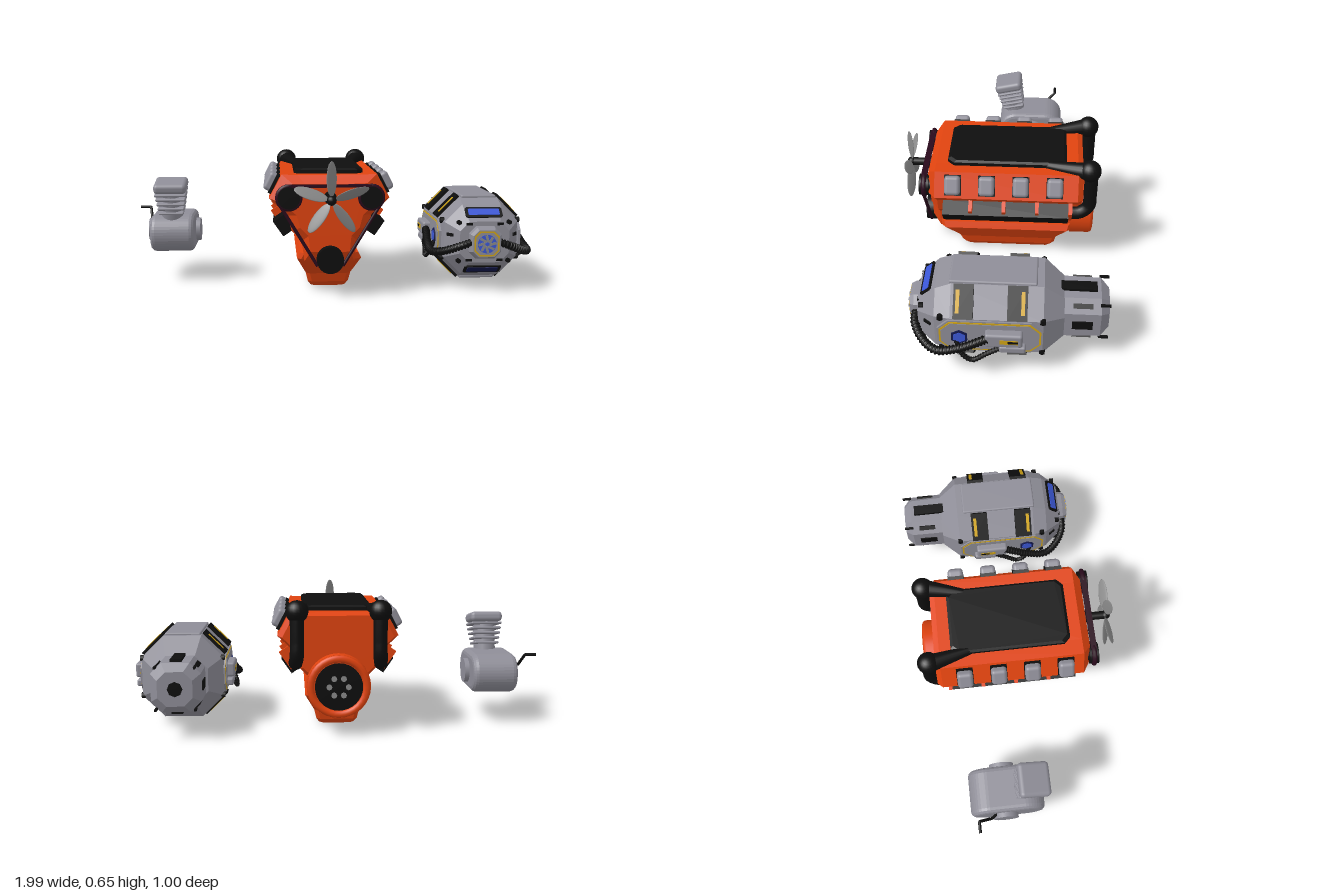
import * as THREE from 'three';
import { RoundedBoxGeometry } from 'three/addons/geometries/RoundedBoxGeometry.js';

const paint = (name, color) => Object.assign(new THREE.MeshStandardMaterial({ color }), { name });
const V = (x, y, z) => new THREE.Vector3(x, y, z);

export function createModel() {
  const orange = paint('orange', 0xe0430f), grey = paint('grey', 0x8f8e98), black = paint('black', 0x0e0e0e);
  const steel = paint('steel', 0x8a8a8a), yellow = paint('yellow', 0xd2a516), blue = paint('blue', 0x3b57d6);
  const navy = paint('navy', 0x14194f), maroon = paint('maroon', 0x2a0a1c);

  const add = (parent, name, geo, mat, x = 0, y = 0, z = 0, rx = 0, ry = 0, rz = 0) => {
    const m = new THREE.Mesh(geo, mat);
    m.name = name;
    m.position.set(x, y, z);
    m.rotation.set(rx, ry, rz);
    parent.add(m);
    return m;
  };
  const group = (parent, name, x = 0, y = 0, z = 0) => {
    const g = new THREE.Group();
    g.name = name;
    g.position.set(x, y, z);
    parent.add(g);
    return g;
  };
  const box = (w, h, d) => new THREE.BoxGeometry(w, h, d);
  const soft = (w, h, d, r) => new RoundedBoxGeometry(w, h, d, 3, r);
  const disc = (r, d, n = 24) => new THREE.CylinderGeometry(r, r, d, n).rotateX(Math.PI / 2);
  const rod = (parent, name, mat, a, b, r1, r2 = r1) => {
    const m = add(parent, name, new THREE.CylinderGeometry(r2, r1, a.distanceTo(b), 16), mat);
    m.position.copy(a).lerp(b, 0.5);
    m.quaternion.setFromUnitVectors(V(0, 1, 0), b.clone().sub(a).normalize());
  };
  // flat-faced solid from counter-clockwise cross-sections [z, points] with rising z
  const loft = (rings) => {
    const pos = [];
    const put = (r, j) => pos.push(r[1][j][0], r[1][j][1], r[0]);
    const n = rings[0][1].length;
    for (let i = 0; i + 1 < rings.length; i++) for (let j = 0; j < n; j++) {
      const k = (j + 1) % n, a = rings[i], b = rings[i + 1];
      put(a, j); put(a, k); put(b, k);
      put(a, j); put(b, k); put(b, j);
    }
    const first = rings[0], last = rings[rings.length - 1];
    const tris = (r) => THREE.ShapeUtils.triangulateShape(r[1].map((p) => new THREE.Vector2(...p)), []);
    for (const [a, b, c] of tris(last)) { put(last, a); put(last, b); put(last, c); }
    for (const [a, b, c] of tris(first)) { put(first, c); put(first, b); put(first, a); }
    const g = new THREE.BufferGeometry();
    g.setAttribute('position', new THREE.Float32BufferAttribute(pos, 3));
    g.computeVertexNormals();
    return g;
  };
  const oct = (w, h, c) => [[w, c - h], [w, h - c], [w - c, h], [c - w, h], [-w, h - c], [-w, c - h], [c - w, -h], [w - c, -h]];
  const plate = (w, h, c, t) => loft([[0, oct(w, h, c)], [t, oct(w, h, c)]]);

  const model = new THREE.Group();
  model.name = 'engines';

  // ---- small single-cylinder engine ----
  const small = group(model, 'singleCylinderEngine', -0.8, 0.245, 0);
  const stadium = new THREE.Shape();
  stadium.absarc(0.085, 0, 0.07, -Math.PI / 2, Math.PI / 2);
  stadium.absarc(-0.085, 0, 0.07, Math.PI / 2, Math.PI * 1.5);
  const caseGeo = new THREE.ExtrudeGeometry(stadium, { depth: 0.17, bevelSize: 0.025, bevelThickness: 0.025, bevelSegments: 3, curveSegments: 10 });
  add(small, 'crankcase', caseGeo.rotateY(-Math.PI / 2).center(), grey, 0, 0, -0.108);
  for (const s of [-1, 1]) add(small, 'crankcaseCover', disc(0.06, 0.03), grey, s * 0.117, 0, -0.12, 0, Math.PI / 2);
  const barrel = group(small, 'cylinder', 0, 0.06, -0.02);
  barrel.rotation.x = 0.22;
  rod(barrel, 'barrel', grey, V(0, 0, 0), V(0, 0.2, 0), 0.055);
  for (let i = 0; i < 5; i++) add(barrel, 'coolingFin', soft(0.124 + i * 0.008, 0.013, 0.12 + i * 0.005, 0.006), grey, 0, 0.06 + i * 0.025, 0);
  add(barrel, 'cylinderHead', soft(0.162, 0.05, 0.15, 0.02), grey, 0, 0.193, 0);
  const crank = [V(-0.1, 0.03, -0.15), V(-0.13, 0.04, -0.19), V(-0.145, 0.1, -0.25), V(-0.198, 0.1, -0.25)];
  for (let i = 0; i < 3; i++) rod(small, 'crankHandle', black, crank[i], crank[i + 1], 0.007);

  // ---- V engine ----
  const vee = group(model, 'veeEngine', -0.02, 0, 0);
  const half = [[0.12, 0.16], [0.13, 0.26], [0.18, 0.31], [0.2, 0.385], [0.285, 0.465], [0.225, 0.578], [0.15, 0.575]];
  const profile = [...half, ...half.map(([x, y]) => [-x, y]).reverse()];
  const shrink = (k) => profile.map(([x, y]) => [x * k, 0.4 + (y - 0.4) * k]);
  add(vee, 'engineBlock', loft([[-0.385, shrink(0.92)], [-0.36, profile], [0.33, profile], [0.368, shrink(0.78)]]), orange);
  const panRing = (y, w, front, back, c) => [y, oct(w, (front + back) / 2, c).map(([x, z]) => [x, z - (front - back) / 2])];
  add(vee, 'oilPan', loft([panRing(0, 0.06, 0.16, 0.2, 0.02), panRing(0.01, 0.085, 0.2, 0.235, 0.02),
    panRing(0.035, 0.1, 0.225, 0.26, 0.02), panRing(0.08, 0.11, 0.24, 0.268, 0.02),
    panRing(0.17, 0.155, 0.32, 0.34, 0.02), panRing(0.2, 0.14, 0.33, 0.35, 0.02)]).rotateX(-Math.PI / 2), orange);
  add(vee, 'topCover', loft([[0.565, oct(0.166, 0.288, 0.03)], [0.592, oct(0.166, 0.288, 0.03)], [0.6, oct(0.155, 0.275, 0.03)]]).rotateX(-Math.PI / 2), black, 0, 0, -0.015);
  for (const s of [-1, 1]) {
    for (let i = 0; i < 4; i++) {
      const z = 0.241 - i * 0.163;
      add(vee, 'rockerCover', soft(0.05, 0.092, 0.075, 0.017), grey, s * 0.275, 0.537, z, 0, 0, s * 0.48);
      add(vee, 'rockerCoverGasket', box(0.02, 0.098, 0.08), black, s * 0.26, 0.526, z, 0, 0, s * 0.48);
      add(vee, 'blockRib', box(0.085, 0.1, 0.018), orange, s * 0.215, 0.365, z - 0.08, 0, 0, -s * 0.6);
    }
    add(vee, 'exhaustManifold', box(0.08, 0.085, 0.62), black, s * 0.21, 0.335, -0.01, 0, 0, -s * 0.6);
    // rear air pipes
    add(vee, 'pipeJoint', new THREE.SphereGeometry(0.053, 20, 14), black, s * 0.193, 0.585, -0.415);
    rod(vee, 'intakePipe', black, V(s * 0.193, 0.582, -0.4), V(s * 0.145, 0.578, -0.2), 0.043, 0.02);
    const bend = new THREE.CatmullRomCurve3([V(s * 0.193, 0.585, -0.422), V(s * 0.193, 0.45, -0.422), V(s * 0.195, 0.375, -0.418), V(s * 0.2, 0.34, -0.38), V(s * 0.2, 0.335, -0.3)]);
    add(vee, 'exhaustPipe', new THREE.TubeGeometry(bend, 20, 0.033, 14), black);
    add(vee, 'upperPulley', disc(0.052, 0.045), black, s * 0.193, 0.475, 0.387);
    rod(vee, 'pulleyShaft', black, V(s * 0.193, 0.475, 0.3), V(s * 0.193, 0.475, 0.38), 0.035);
    // belt runs from the crank pulley to each upper pulley
    rod(vee, 'beltRun', maroon, V(s * 0.06, 0.15, 0.387), V(s * 0.242, 0.452, 0.387), 0.008);
    add(vee, 'upperPulleyBelt', new THREE.TorusGeometry(0.052, 0.012, 8, 24), maroon, s * 0.193, 0.475, 0.387);
  }
  add(vee, 'beltTopRun', box(0.386, 0.012, 0.028), maroon, 0, 0.529, 0.387);
  add(vee, 'crankPulley', disc(0.064, 0.05), black, 0, 0.18, 0.387);
  rod(vee, 'crankShaft', black, V(0, 0.18, 0.3), V(0, 0.18, 0.38), 0.045);
  // flywheel housing
  add(vee, 'flywheelHousing', disc(0.15, 0.1, 32), orange, 0, 0.235, -0.385);
  add(vee, 'flywheelRim', new THREE.TorusGeometry(0.132, 0.018, 8, 32), orange, 0, 0.235, -0.433);
  add(vee, 'flywheel', disc(0.112, 0.02, 32), black, 0, 0.235, -0.433);
  for (let i = 0; i < 6; i++) {
    const a = i * Math.PI / 3;
    add(vee, 'flywheelBolt', disc(0.014, 0.008, 8), steel, 0.045 * Math.cos(a), 0.235 + 0.045 * Math.sin(a), -0.444);
  }
  // propeller
  rod(vee, 'propellerShaft', black, V(0, 0.473, 0.34), V(0, 0.473, 0.475), 0.02);
  rod(vee, 'shaftCollar', black, V(0, 0.473, 0.34), V(0, 0.473, 0.4), 0.03);
  const prop = group(vee, 'propeller', 0, 0.473, 0.477);
  add(prop, 'propellerHub', new THREE.SphereGeometry(0.023, 14, 10), black);
  for (let i = 0; i < 5; i++) {
    const arm = group(prop, 'blade');
    arm.rotation.z = i * Math.PI * 0.4;
    add(arm, 'bladeSurface', new THREE.SphereGeometry(1, 14, 10).scale(0.031, 0.081, 0.004), steel, 0, 0.099, 0, 0, 0.65, 0);
  }

  // ---- reactor ----
  const reactor = group(model, 'reactor', 0.728, 0.245, 0);
  add(reactor, 'reactorBody', loft([[-0.3, oct(0.13, 0.115, 0.06)], [-0.21, oct(0.197, 0.2, 0.105)], [0.19, oct(0.197, 0.2, 0.105)],
    [0.26, oct(0.18, 0.172, 0.085)], [0.34, oct(0.12, 0.1, 0.045)]]), grey);
  add(reactor, 'rearModule', loft([[-0.498, oct(0.08, 0.08, 0.04)], [-0.46, oct(0.115, 0.115, 0.05)], [-0.28, oct(0.118, 0.118, 0.05)]]), grey);
  add(reactor, 'nose', loft([[0.32, oct(0.08, 0.082, 0.035)], [0.365, oct(0.075, 0.075, 0.032)], [0.384, oct(0.065, 0.065, 0.027)]]), grey);
  // fan in the nose
  add(reactor, 'noseTrim', plate(0.06, 0.06, 0.025, 0.003), yellow, 0, 0, 0.383);
  add(reactor, 'noseFace', plate(0.053, 0.053, 0.022, 0.005), grey, 0, 0, 0.383);
  add(reactor, 'fanGlow', disc(0.045, 0.004), blue, 0, 0, 0.388);
  for (let i = 0; i < 8; i++) {
    const a = i * Math.PI / 4;
    add(reactor, 'fanVane', box(0.034, 0.012, 0.004), steel, 0.026 * Math.cos(a), 0.026 * Math.sin(a), 0.391, 0, 0, a + 0.3);
  }
  add(reactor, 'fanCentre', disc(0.009, 0.006, 12), blue, 0, 0, 0.392);
  for (const t of [-1, 1]) {
    // slit windows on the sloping front faces, panels above and below
    const slit = group(reactor, 'slitWindow', 0, t * 0.137, 0.302);
    slit.rotation.x = -t * 0.84;
    add(slit, 'slitFrame', plate(0.09, 0.031, 0.008, 0.006), black);
    add(slit, 'slitGlass', plate(0.076, 0.019, 0.004, 0.004), t > 0 ? blue : navy, 0, 0, 0.005);
    add(reactor, 'spinePanel', soft(0.175, 0.02, 0.38, 0.008), grey, 0, t * 0.2, 0.01);
    add(reactor, 'rearFin', box(0.052, 0.02, 0.165), black, 0, t * 0.119, -0.36);
    for (const s of [-1, 1]) {
      // straps with a stripe across each chamfered edge
      for (const [z, stripe] of [[0.133, 0.158], [-0.098, -0.122]]) {
        const strap = group(reactor, 'strap', s * 0.146, t * 0.149, z);
        strap.rotation.z = Math.atan2(t, s);
        add(strap, 'strapBand', box(0.024, 0.15, 0.086), black);
        add(strap, 'strapStripe', box(0.006, 0.1, 0.016), yellow, 0.012, 0, stripe - z);
      }
      for (const z of [0.232, -0.208]) add(reactor, 'sideBolt', disc(0.014, 0.02, 6), black, s * (z > 0 ? 0.187 : 0.193), t * 0.092, z, 0, Math.PI / 2);
      add(reactor, 'noseBolt', disc(0.012, 0.02, 6), black, s * 0.122, t * 0.094, 0.322);
      add(reactor, 'noseVent', box(0.03, 0.012, 0.01), black, s * 0.075, t * 0.088, 0.337);
      add(reactor, 'rearVent', box(0.008, 0.022, 0.085), black, s * 0.094, t * 0.094, -0.38, 0, 0, Math.atan2(t, s));
      add(reactor, 'rearPin', box(0.01, 0.01, 0.045), black, s * 0.09, t * 0.098, -0.478);
    }
  }
  add(reactor, 'rearPort', disc(0.035, 0.008, 8), black, 0, 0, -0.497);
  for (const s of [-1, 1]) {
    add(reactor, 'rearWindow', box(0.008, 0.045, 0.09), black, s * 0.117, 0, -0.38);
    add(reactor, 'cheekVent', box(0.01, 0.015, 0.038), black, s * 0.158, 0.03, 0.292, 0, -s * 0.64);
    // side panel, built facing outward
    const side = group(reactor, 'sidePanel', s * 0.192, 0, 0);
    side.rotation.y = s * Math.PI / 2;
    const at = (name, geo, mat, z, y, out) => add(side, name, geo, mat, -s * z, y, out);
    at('panelBase', plate(0.228, 0.09, 0.05, 0.012), grey, 0.018, 0, 0);
    at('panelTrim', plate(0.22, 0.083, 0.046, 0.003), yellow, 0.018, 0, 0.011);
    at('panelFace', plate(0.212, 0.075, 0.042, 0.005), grey, 0.018, 0, 0.011);
    at('portholeRim', disc(0.04, 0.012, 6), navy, 0.15, 0, 0.016);
    at('porthole', disc(0.03, 0.012, 6), blue, 0.15, 0, 0.018);
    at('upperPod', soft(0.162, 0.072, 0.05, 0.012), grey, -0.043, 0.013, 0.028);
    at('podLabel', box(0.078, 0.024, 0.004), yellow, -0.066, 0.013, 0.052);
    at('podLabelMark', box(0.045, 0.012, 0.005), black, -0.082, 0.013, 0.053);
    at('lowerPod', soft(0.115, 0.036, 0.04, 0.01), grey, -0.08, -0.047, 0.026);
    // ribbed hoses
    const hoses = [
      [[V(s * 0.06, 0.005, 0.355), V(s * 0.12, -0.015, 0.355), V(s * 0.19, -0.045, 0.315), V(s * 0.237, -0.06, 0.25), V(s * 0.24, -0.04, 0.15), V(s * 0.228, 0.012, 0.03)], 0.016, 30],
      [[V(s * 0.205, -0.02, 0.165), V(s * 0.232, -0.08, 0.14), V(s * 0.24, -0.11, 0.095), V(s * 0.232, -0.075, 0.03), V(s * 0.222, -0.047, -0.03)], 0.01, 20],
    ];
    for (const [pts, r, n] of hoses) {
      const curve = new THREE.CatmullRomCurve3(pts);
      add(reactor, 'hose', new THREE.TubeGeometry(curve, 40, r, 10), black);
      for (let i = 0; i <= n; i++) {
        const rib = add(reactor, 'hoseRib', new THREE.TorusGeometry(r, r * 0.3, 6, 12), black);
        rib.position.copy(curve.getPointAt(i / n));
        rib.quaternion.setFromUnitVectors(V(0, 0, 1), curve.getTangentAt(i / n));
      }
    }
  }
  return model;
}
